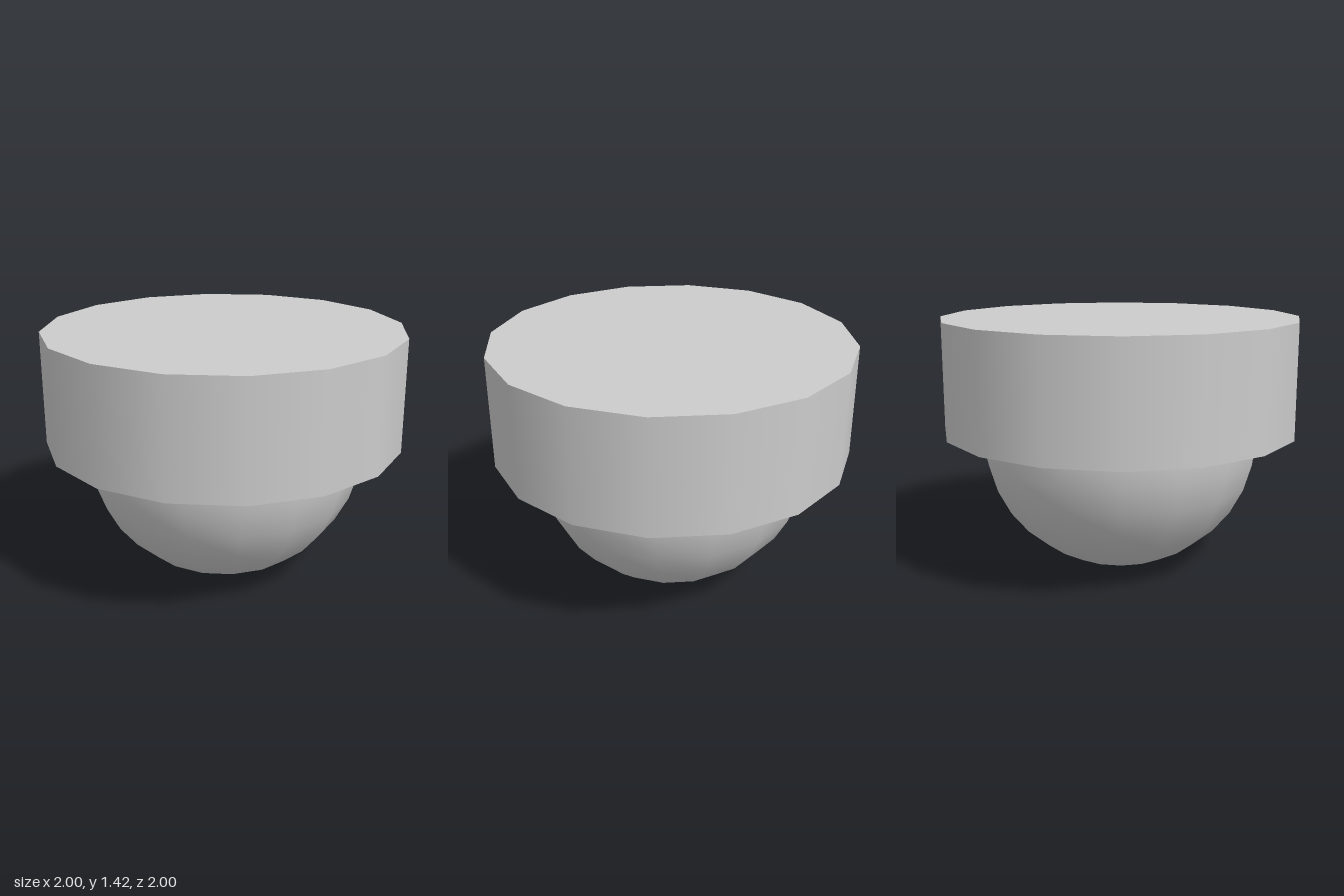
import * as THREE from 'three';

export function createModel() {
  const group = new THREE.Group();
  const material = new THREE.MeshStandardMaterial({ color: 0xcccccc });
  const sides = 16;
  const domeRadius = 0.79;
  const baseHeight = 0.63;

  // Mounting base: a 16-sided drum with smooth walls and flat caps
  const base = new THREE.Mesh(new THREE.CylinderGeometry(1, 1, baseHeight, sides), material);
  base.name = 'mountingBase';
  base.position.y = domeRadius + baseHeight / 2;
  group.add(base);

  // Dome: lower hemisphere hanging from the underside of the base
  const dome = new THREE.Mesh(
    new THREE.SphereGeometry(domeRadius, sides, 8, 0, Math.PI * 2, Math.PI / 2, Math.PI / 2),
    material
  );
  dome.name = 'dome';
  dome.position.y = domeRadius;
  group.add(dome);

  return group;
}
